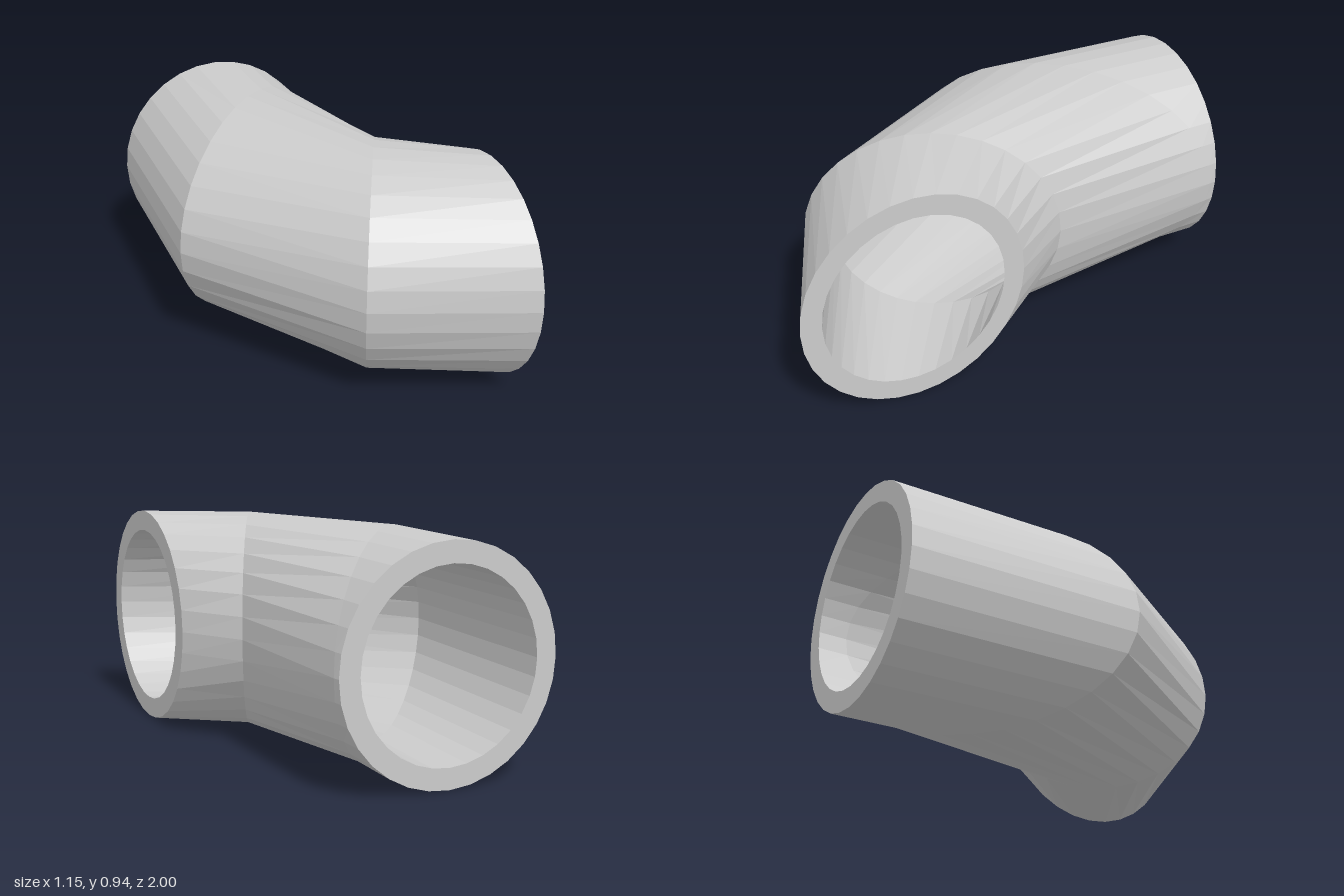
import * as THREE from 'three';

const SIDES = 32;
const RADIUS = 0.47;
const BORE = 0.815;

// Mitred rings along the bend: [outer x, z], [inner x, z] of the elbow, bore scale in plan
const STATIONS = [
  { out: [-0.55, -1], inn: [0.38, -1], bore: BORE },
  { out: [-0.575, 0], inn: [0.385, -0.97], bore: BORE },
  { out: [-0.06, 0.755], inn: [0.41, -0.2], bore: 0.79 },
  { out: [0.573, 1], inn: [0.573, 0.06], bore: BORE },
];

// Points of one elliptical ring in its mitre plane
function ring({ out, inn }, planScale = 1, heightScale = 1) {
  const points = [];
  for (let i = 0; i <= SIDES; i++) {
    const a = (i / SIDES) * Math.PI * 2;
    const c = Math.cos(a) * planScale / 2;
    points.push(new THREE.Vector3(
      (out[0] + inn[0]) / 2 + (out[0] - inn[0]) * c,
      RADIUS + RADIUS * heightScale * Math.sin(a),
      (out[1] + inn[1]) / 2 + (out[1] - inn[1]) * c
    ));
  }
  return points;
}

// Faceted skin through a sequence of rings
function loft(name, rings, material) {
  const points = [];
  for (let r = 0; r < rings.length - 1; r++) {
    const a = rings[r], b = rings[r + 1];
    for (let i = 0; i < SIDES; i++) {
      points.push(a[i], b[i], b[i + 1], a[i], b[i + 1], a[i + 1]);
    }
  }
  const geometry = new THREE.BufferGeometry().setFromPoints(points);
  geometry.computeVertexNormals();
  const mesh = new THREE.Mesh(geometry, material);
  mesh.name = name;
  return mesh;
}

export function createModel() {
  const group = new THREE.Group();
  group.name = 'pipeElbow';
  const material = new THREE.MeshStandardMaterial({ color: 0xcccccc, flatShading: true });

  const outer = STATIONS.map((s) => ring(s));
  const inner = STATIONS.map((s) => ring(s, s.bore, BORE));
  const last = STATIONS.length - 1;

  group.add(
    loft('outerWall', outer, material),
    loft('frontRim', [outer[last], inner[last]], material),
    loft('bore', [...inner].reverse(), material),
    loft('backRim', [inner[0], outer[0]], material)
  );
  return group;
}
